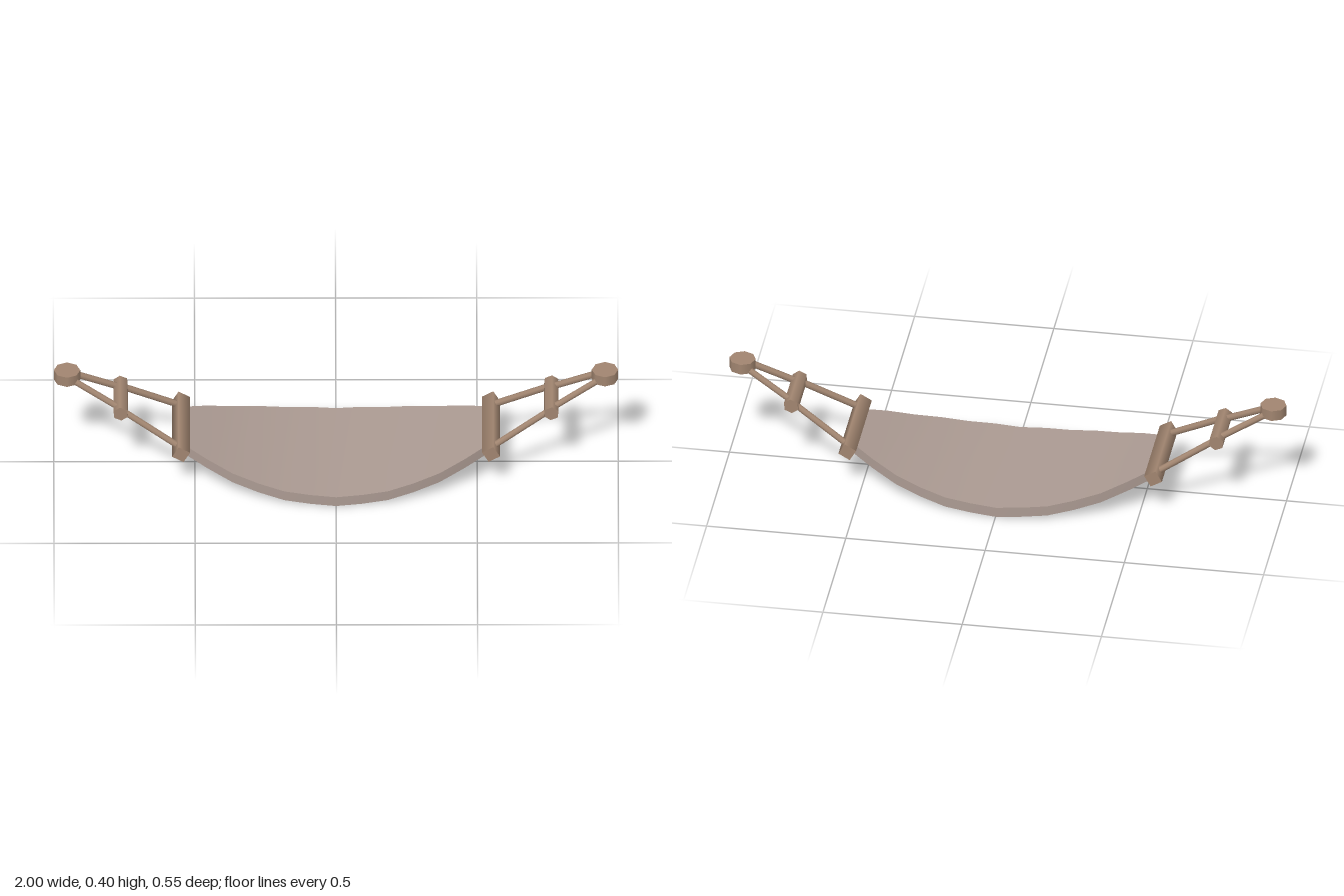
import * as THREE from 'three';

const fabric = new THREE.MeshStandardMaterial({ color: 0xab9a92 });
fabric.name = 'fabric';
const wood = new THREE.MeshStandardMaterial({ color: 0xa18570 });
wood.name = 'wood';

function mesh(name, geometry, material) {
  const m = new THREE.Mesh(geometry, material);
  m.name = name;
  return m;
}

// Height of the sagging underside, as straight runs between a few points
const SAG = [[0, 0.002], [0.19, 0.018], [0.36, 0.056], [0.55, 0.124]];
function sagAt(x) {
  const a = Math.abs(x);
  let i = 0;
  while (i < SAG.length - 2 && a > SAG[i + 1][0]) i++;
  const [x0, y0] = SAG[i], [x1, y1] = SAG[i + 1];
  return y0 + (y1 - y0) * (a - x0) / (x1 - x0);
}

// Hammock bed: a slab whose width narrows to the ends and which sags in the middle
function bed() {
  const g = new THREE.BoxGeometry(1.1, 0.038, 2, 12, 1, 1);
  const p = g.attributes.position;
  for (let i = 0; i < p.count; i++) {
    const x = p.getX(i);
    const half = 0.273 - 0.163 * Math.pow(Math.abs(x) / 0.55, 2.2);
    p.setXYZ(i, x, sagAt(x) + p.getY(i) + 0.019, p.getZ(i) * half);
  }
  g.computeVertexNormals();
  return mesh('bed', g, fabric);
}

// Bar lying along z
function bar(name, x, y, radius, length, sides, tilt) {
  const g = new THREE.CylinderGeometry(radius, radius, length, sides);
  g.rotateX(Math.PI / 2);
  g.rotateZ(tilt);
  const m = mesh(name, g, wood);
  m.position.set(x, y, 0);
  return m;
}

// Rope between two points
function rope(name, from, to) {
  const a = new THREE.Vector3(...from), b = new THREE.Vector3(...to);
  const d = b.clone().sub(a);
  const m = mesh(name, new THREE.CylinderGeometry(0.012, 0.012, d.length(), 8), wood);
  m.position.copy(a).add(b).multiplyScalar(0.5);
  m.quaternion.setFromUnitVectors(new THREE.Vector3(0, 1, 0), d.normalize());
  return m;
}

// Hanging end: spreader bars, ropes and anchor, built on +x
function hangingEnd(name) {
  const g = new THREE.Group();
  g.name = name;
  g.add(bar('wideSpreader', 0.549, 0.153, 0.033, 0.342, 4, -Math.PI / 12));
  g.add(bar('narrowSpreader', 0.763, 0.278, 0.028, 0.196, 6, -0.1));
  for (const s of [1, -1]) {
    g.add(rope('lowerRope', [0.549, 0.155, s * 0.13], [0.763, 0.28, s * 0.072]));
    g.add(rope('upperRope', [0.763, 0.28, s * 0.066], [0.945, 0.378, s * 0.018]));
  }
  const anchor = mesh('anchor', new THREE.CylinderGeometry(0.047, 0.047, 0.04, 8), wood);
  anchor.position.set(0.953, 0.38, 0);
  g.add(anchor);
  return g;
}

export function createModel() {
  const model = new THREE.Group();
  model.name = 'hammock';
  const left = hangingEnd('leftEnd');
  const right = hangingEnd('rightEnd');
  right.rotation.y = Math.PI;
  model.add(bed(), left, right);
  return model;
}
